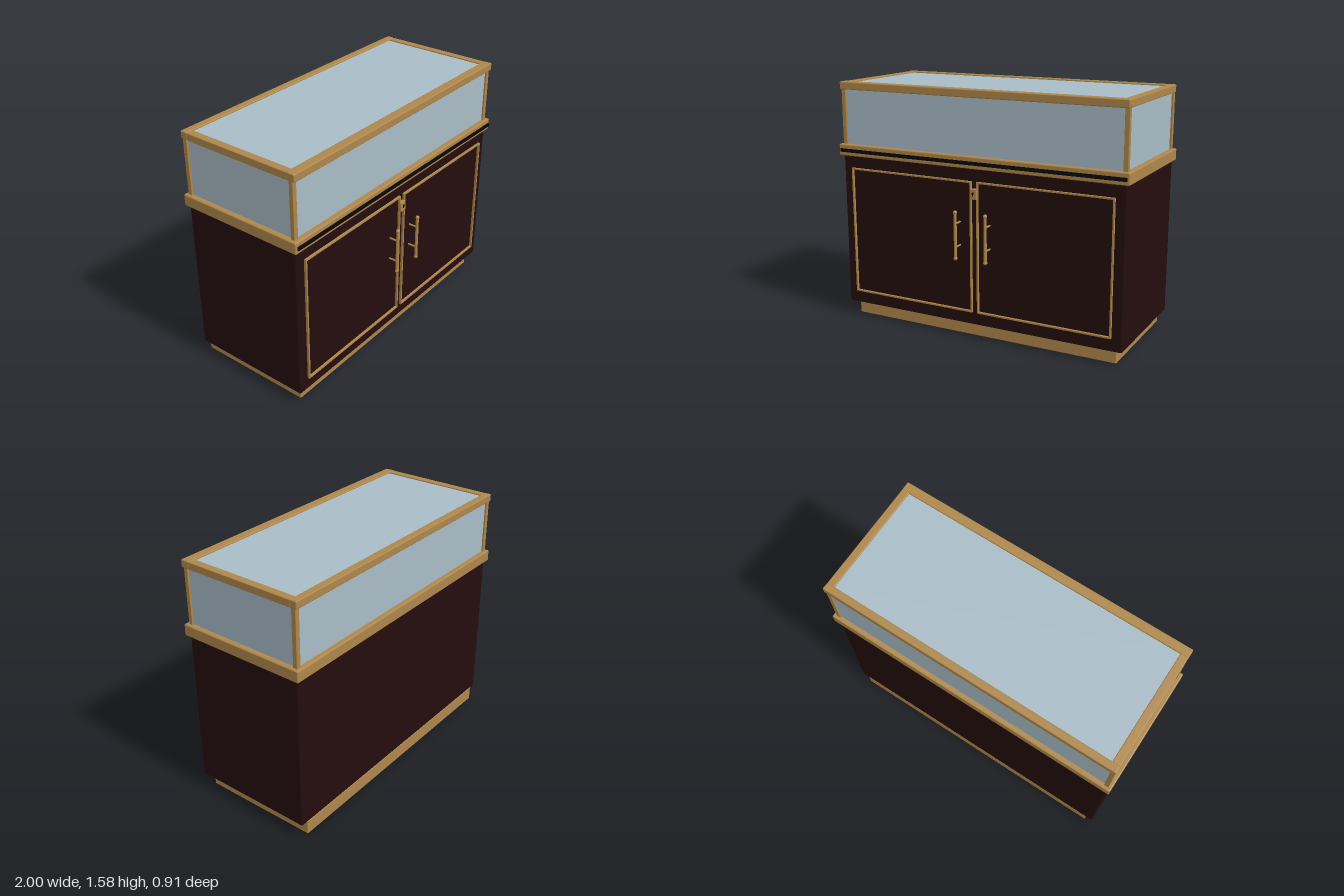
import * as THREE from 'three';
import { RoundedBoxGeometry } from 'three/addons/geometries/RoundedBoxGeometry.js';

const mat = (name, color) => {
  const m = new THREE.MeshStandardMaterial({ color });
  m.name = name;
  return m;
};

export function createModel() {
  const brass = mat('brass', 0xae874b);
  const wood = mat('dark wood', 0x240d0d);
  const glass = mat('glass', 0xa9bcc6);
  const black = mat('black', 0x0c0606);

  const model = new THREE.Group();
  model.name = 'displayCabinet';

  const add = (name, geometry, material, parent = model) => {
    const m = new THREE.Mesh(geometry, material);
    m.name = name;
    parent.add(m);
    return m;
  };
  // Box given by its limits on each axis, with optionally rounded edges
  const block = (name, [x0, x1], [y0, y1], [z0, z1], material, radius = 0, parent = model) => {
    const size = [x1 - x0, y1 - y0, z1 - z0];
    const g = radius ? new RoundedBoxGeometry(...size, 2, radius) : new THREE.BoxGeometry(...size);
    const m = add(name, g, material, parent);
    m.position.set((x0 + x1) / 2, (y0 + y1) / 2, (z0 + z1) / 2);
    return m;
  };

  // Base cabinet
  block('plinth', [-0.93, 0.93], [0, 0.095], [-0.435, 0.34], brass, 0.005);
  block('cabinetBody', [-0.98, 0.98], [0.09, 1.105], [-0.435, 0.385], wood, 0.012);
  block('ledge', [-1, 1], [1.1, 1.175], [-0.455, 0.408], brass, 0.008);
  block('ledgeStrip', [-0.985, 0.985], [1.125, 1.147], [0.4, 0.417], black);

  // Glass case: four corner posts, top rails and panes
  for (const s of [-1, 1]) {
    const xs = (a, b) => (s > 0 ? [a, b] : [-b, -a]);
    block('frontPost', xs(0.95, 0.98), [1.17, 1.535], [0.358, 0.385], brass, 0.003);
    block('backPost', xs(0.95, 0.98), [1.17, 1.535], [-0.435, -0.405], brass, 0.003);
    block('sideRail', xs(0.932, 0.982), [1.53, 1.578], [-0.4, 0.345], brass, 0.005);
    block('sidePane', xs(0.957, 0.967), [1.17, 1.535], [-0.41, 0.363], glass);
  }
  block('frontRail', [-0.983, 0.983], [1.53, 1.58], [0.34, 0.4], brass, 0.007);
  block('backRail', [-0.983, 0.983], [1.53, 1.58], [-0.445, -0.397], brass, 0.007);
  block('frontPane', [-0.955, 0.955], [1.17, 1.535], [0.364, 0.374], glass);
  block('backPane', [-0.955, 0.955], [1.17, 1.535], [-0.424, -0.414], glass);
  block('topPane', [-0.935, 0.935], [1.56, 1.57], [-0.4, 0.345], glass);

  // Doors: raised brass outline and pull handle
  const rod = new THREE.CylinderGeometry(0.01, 0.01, 0.3, 16);
  const knob = new THREE.SphereGeometry(0.013, 16, 10);
  const standoff = new THREE.CylinderGeometry(0.006, 0.006, 0.065, 12).rotateX(Math.PI / 2);
  for (const s of [-1, 1]) {
    const door = new THREE.Group();
    door.name = s > 0 ? 'leftDoor' : 'rightDoor';
    model.add(door);

    const outline = new THREE.Shape();
    outline.moveTo(-0.447, -0.423).lineTo(0.447, -0.423).lineTo(0.447, 0.423).lineTo(-0.447, 0.423).closePath();
    const hole = new THREE.Path();
    hole.moveTo(-0.437, -0.413).lineTo(-0.437, 0.413).lineTo(0.437, 0.413).lineTo(0.437, -0.413).closePath();
    outline.holes.push(hole);
    const trim = add('doorTrim', new THREE.ExtrudeGeometry(outline, { depth: 0.022, bevelEnabled: false }), brass, door);
    trim.position.set(s * 0.465, 0.598, 0.378);

    const handle = new THREE.Group();
    handle.name = 'handle';
    handle.position.set(s * 0.105, 0.68, 0.445);
    door.add(handle);
    add('handleRod', rod, brass, handle);
    for (const e of [-1, 1]) {
      add('handleKnob', knob, brass, handle).position.y = e * 0.147;
      add('handleStandoff', standoff, brass, handle).position.set(0, e * 0.075, -0.032);
    }
  }

  // Lock between the doors
  block('lockPlate', [-0.025, 0.025], [0.91, 0.977], [0.38, 0.407], brass, 0.005);
  const keyhole = add('keyhole', new THREE.CylinderGeometry(0.007, 0.007, 0.008, 16).rotateX(Math.PI / 2), black);
  keyhole.position.set(0, 0.95, 0.408);
  block('keySlot', [-0.003, 0.003], [0.932, 0.948], [0.404, 0.411], black);

  return model;
}
